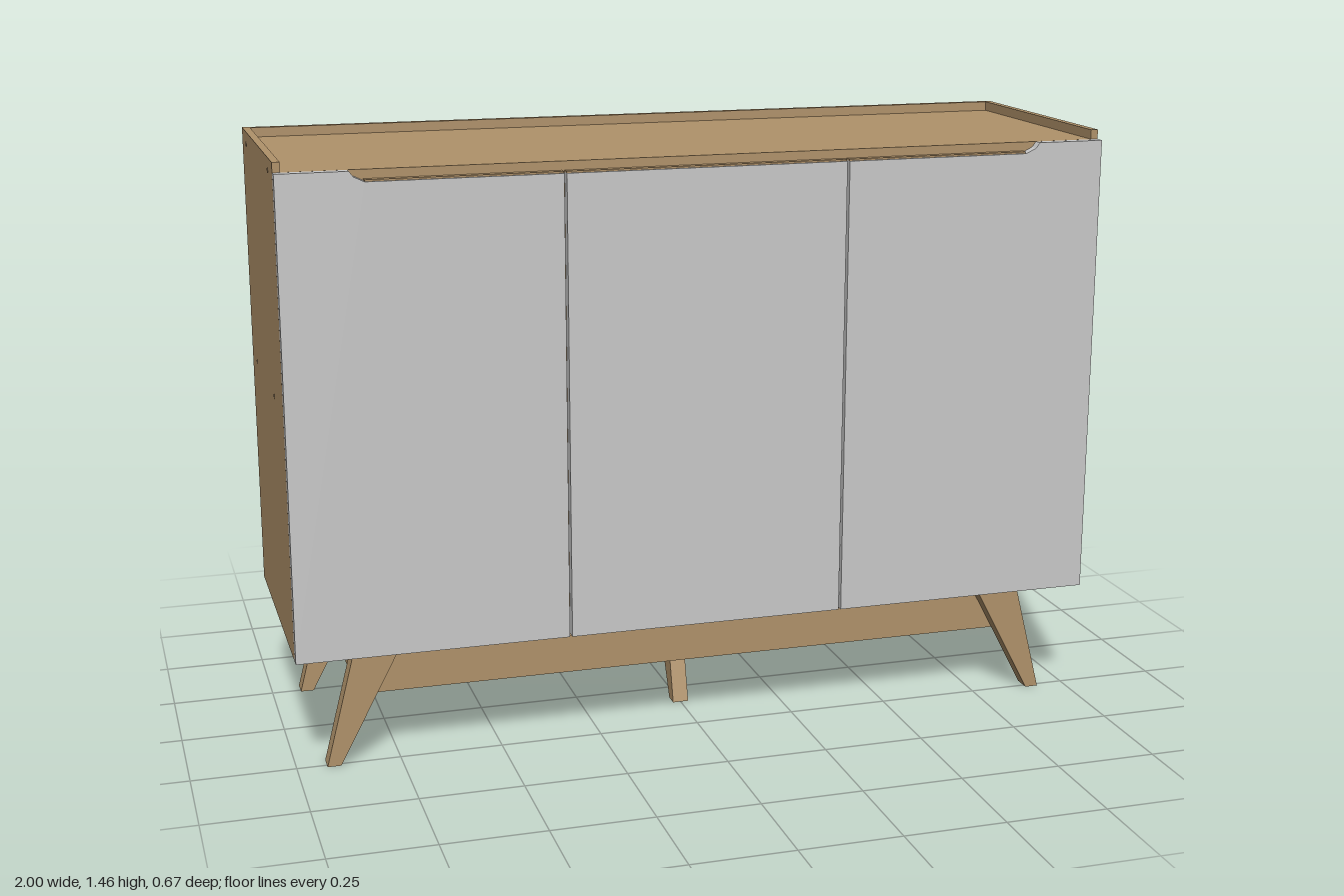
import * as THREE from 'three';

const wood = new THREE.MeshStandardMaterial({ color: 0xb0926a });
wood.name = 'wood';
const gray = new THREE.MeshStandardMaterial({ color: 0xc9c9c9 });
gray.name = 'gray';

// Box given by its minimum and maximum on each axis
function box(parent, name, mat, [x0, x1], [y0, y1], [z0, z1]) {
  const m = new THREE.Mesh(new THREE.BoxGeometry(x1 - x0, y1 - y0, z1 - z0), mat);
  m.position.set((x0 + x1) / 2, (y0 + y1) / 2, (z0 + z1) / 2);
  m.name = name;
  parent.add(m);
  return m;
}

// Flat outline extruded along +z from z0
function plate(parent, name, mat, points, z0, depth) {
  const shape = new THREE.Shape(points.map(([x, y]) => new THREE.Vector2(x, y)));
  const geo = new THREE.ExtrudeGeometry(shape, { depth, bevelEnabled: false });
  geo.translate(0, 0, z0);
  const m = new THREE.Mesh(geo, mat);
  m.name = name;
  parent.add(m);
  return m;
}

// Small screw cap on a side face
function cap(parent, s, x, y, z) {
  const m = new THREE.Mesh(new THREE.CylinderGeometry(0.006, 0.006, 0.002, 12), wood);
  m.rotation.z = Math.PI / 2;
  m.position.set(s * x, y, z);
  m.name = 'screwCap';
  parent.add(m);
}

export function createModel() {
  const model = new THREE.Group();
  model.name = 'sideboard';

  // Carcass with raised rim around the top
  const body = new THREE.Group();
  body.name = 'cabinetBody';
  model.add(body);
  const inner = [-0.982, 0.982];
  box(body, 'topBoard', wood, inner, [1.412, 1.437], [-0.308, 0.31]);
  box(body, 'bottomBoard', wood, inner, [0.295, 0.318], [-0.325, 0.31]);
  box(body, 'backRim', wood, inner, [1.412, 1.46], [-0.325, -0.308]);
  box(body, 'backPanel', gray, [-0.99, 0.99], [0.3, 1.437], [-0.333, -0.3255]);
  for (const s of [-1, 1]) {
    const xs = s > 0 ? [0.982, 1] : [-1, -0.982];
    box(body, 'sidePanel', wood, xs, [0.295, 1.46], [-0.325, 0.31]);
    box(body, 'divider', wood, [s * 0.343 - 0.01, s * 0.343 + 0.01], [0.318, 1.412], [-0.325, 0.309]);
    for (const [z, y] of [[0.22, 1.43], [-0.24, 1.43], [0.14, 0.89], [-0.225, 0.89]]) cap(body, s, 1, y, z);
  }

  // Three doors with a shared finger notch along the top
  const doors = new THREE.Group();
  doors.name = 'doors';
  model.add(doors);
  const y0 = 0.295, y1 = 1.437, yn = 1.412, z0 = 0.311, d = 0.023;
  box(doors, 'middleDoor', gray, [-0.34, 0.34], [y0, yn], [z0, z0 + d]);
  for (const s of [-1, 1]) {
    const pts = [[0.346, y0], [1, y0], [1, y1], [0.835, y1], [0.825, 1.424], [0.8, yn], [0.346, yn]];
    plate(doors, 'sideDoor', gray, pts.map(([x, y]) => [s * x, y]), z0, d);
    const xs = s > 0 ? [0.346, 0.8] : [-0.8, -0.346];
    box(doors, 'notchLining', wood, xs, [yn, yn + 0.004], [z0, z0 + 0.018]);
  }
  box(doors, 'notchLining', wood, [-0.34, 0.34], [yn, yn + 0.004], [z0, z0 + 0.018]);

  // Stand: plate, apron ring and splayed legs
  const stand = new THREE.Group();
  stand.name = 'stand';
  model.add(stand);
  box(stand, 'standPlate', wood, [-0.927, 0.927], [0.275, 0.295], [-0.29, 0.272]);
  box(stand, 'frontApron', wood, [-0.82, 0.82], [0.16, 0.275], [0.198, 0.218]);
  box(stand, 'backApron', wood, [-0.82, 0.82], [0.16, 0.275], [-0.24, -0.22]);
  const leg = [[0.895, 0], [0.928, 0], [0.858, 0.275], [0.75, 0.275]];
  for (const s of [-1, 1]) {
    const xs = s > 0 ? [0.82, 0.84] : [-0.84, -0.82];
    box(stand, 'sideApron', wood, xs, [0.16, 0.275], [-0.24, 0.218]);
    for (const z of [0.21, -0.225]) cap(stand, s, 0.84, 0.25, z);
    const pts = leg.map(([x, y]) => [s * x, y]);
    plate(stand, 'frontLeg', wood, pts, 0.218, 0.044);
    plate(stand, 'backLeg', wood, pts, -0.284, 0.044);
  }

  // Middle support leg, slanting forward towards the floor
  const mid = [[-0.105, 0], [-0.07, 0], [0.076, 0.275], [-0.028, 0.275]];
  plate(stand, 'middleLeg', wood, mid, -0.02, 0.04).rotation.y = Math.PI / 2;

  return model;
}
